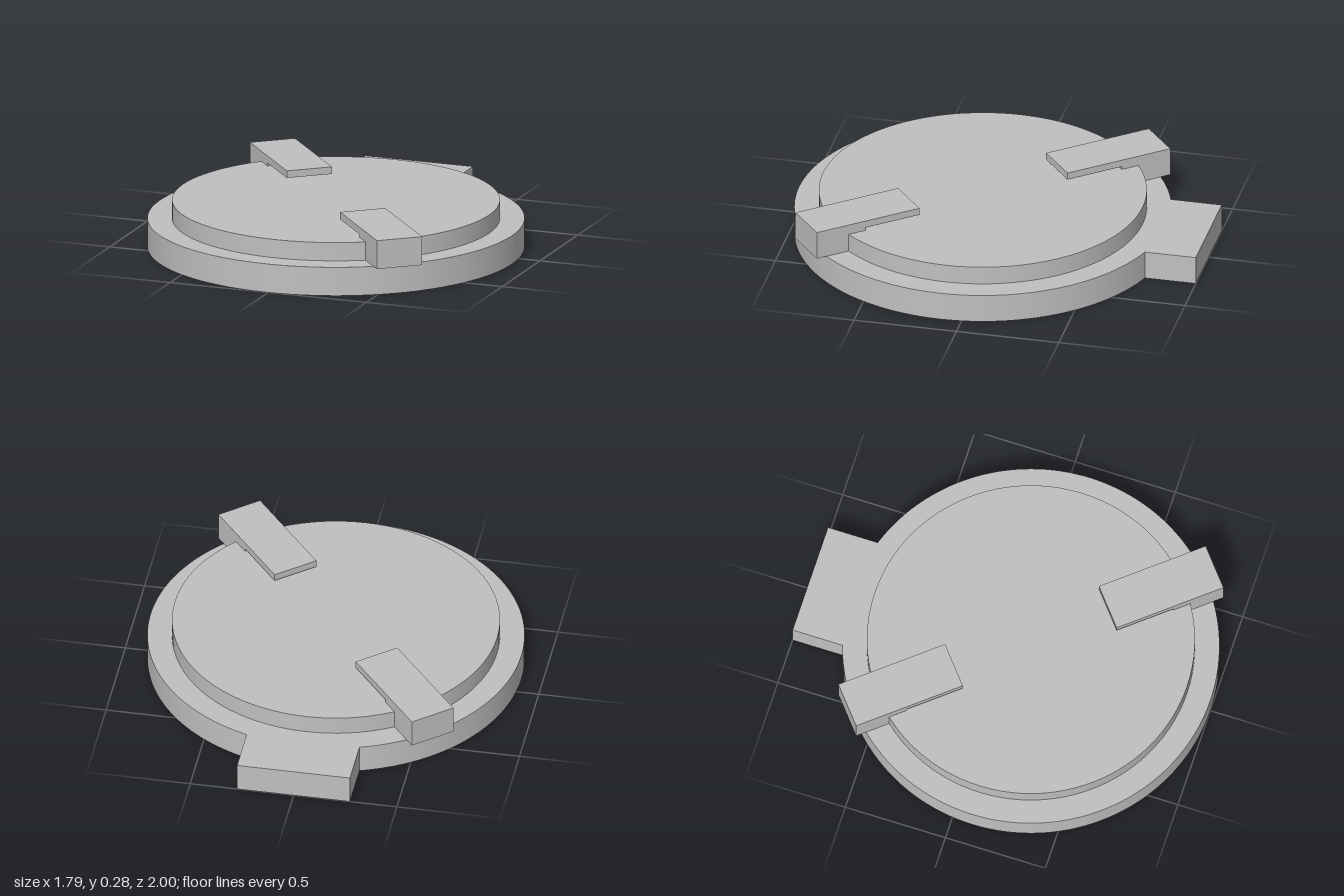
import * as THREE from 'three';
import { toCreasedNormals } from 'three/addons/utils/BufferGeometryUtils.js';

const CENTRE_Z = 0.103;   // disc centre
const BASE_R = 0.897, BASE_H = 0.14;
const LID_R = 0.78, LID_TOP = 0.23;
const TAB_HALF = 0.273;

export function createModel() {
  const model = new THREE.Group();
  model.name = 'clippedDisc';
  const grey = new THREE.MeshStandardMaterial({ color: 0xc0c0c0 });
  grey.name = 'light grey';

  const add = (parent, name, geometry) => {
    const mesh = new THREE.Mesh(geometry, grey);
    mesh.name = name;
    parent.add(mesh);
    return mesh;
  };

  // Base plate: disc outline with a square tab at the back
  const a = Math.acos(TAB_HALF / BASE_R);
  const outline = new THREE.Shape();
  outline.moveTo(TAB_HALF, 1);
  outline.lineTo(-TAB_HALF, 1);
  outline.absarc(0, -CENTRE_Z, BASE_R, Math.PI - a, 2 * Math.PI + a, false);
  outline.closePath();
  const plate = new THREE.ExtrudeGeometry(outline, { depth: BASE_H, bevelEnabled: false, curveSegments: 96 });
  plate.rotateX(-Math.PI / 2);
  add(model, 'basePlate', toCreasedNormals(plate, 0.5));

  // Raised round lid
  const lid = add(model, 'raisedLid', new THREE.CylinderGeometry(LID_R, LID_R, LID_TOP - BASE_H, 96));
  lid.position.set(0, (BASE_H + LID_TOP) / 2, CENTRE_Z);

  // L-shaped clip profile: x is distance from the disc centre, y is height
  const profile = new THREE.Shape([
    [0.394, 0.245], [0.683, 0.245], [0.683, 0.14],
    [0.941, 0.14], [0.941, 0.28], [0.394, 0.28],
  ].map(([x, y]) => new THREE.Vector2(x, y)));
  const clipWidth = 0.227;
  const clip = new THREE.ExtrudeGeometry(profile, { depth: clipWidth, bevelEnabled: false });
  clip.translate(0, 0, -clipWidth / 2);

  // Two opposite clips reaching radially over the lid
  const angle = Math.atan2(0.42, 0.35);
  ['frontClip', 'backClip'].forEach((name, i) => {
    const mesh = add(model, name, clip);
    mesh.position.z = CENTRE_Z;
    mesh.rotation.y = -angle + i * Math.PI;
  });

  return model;
}
